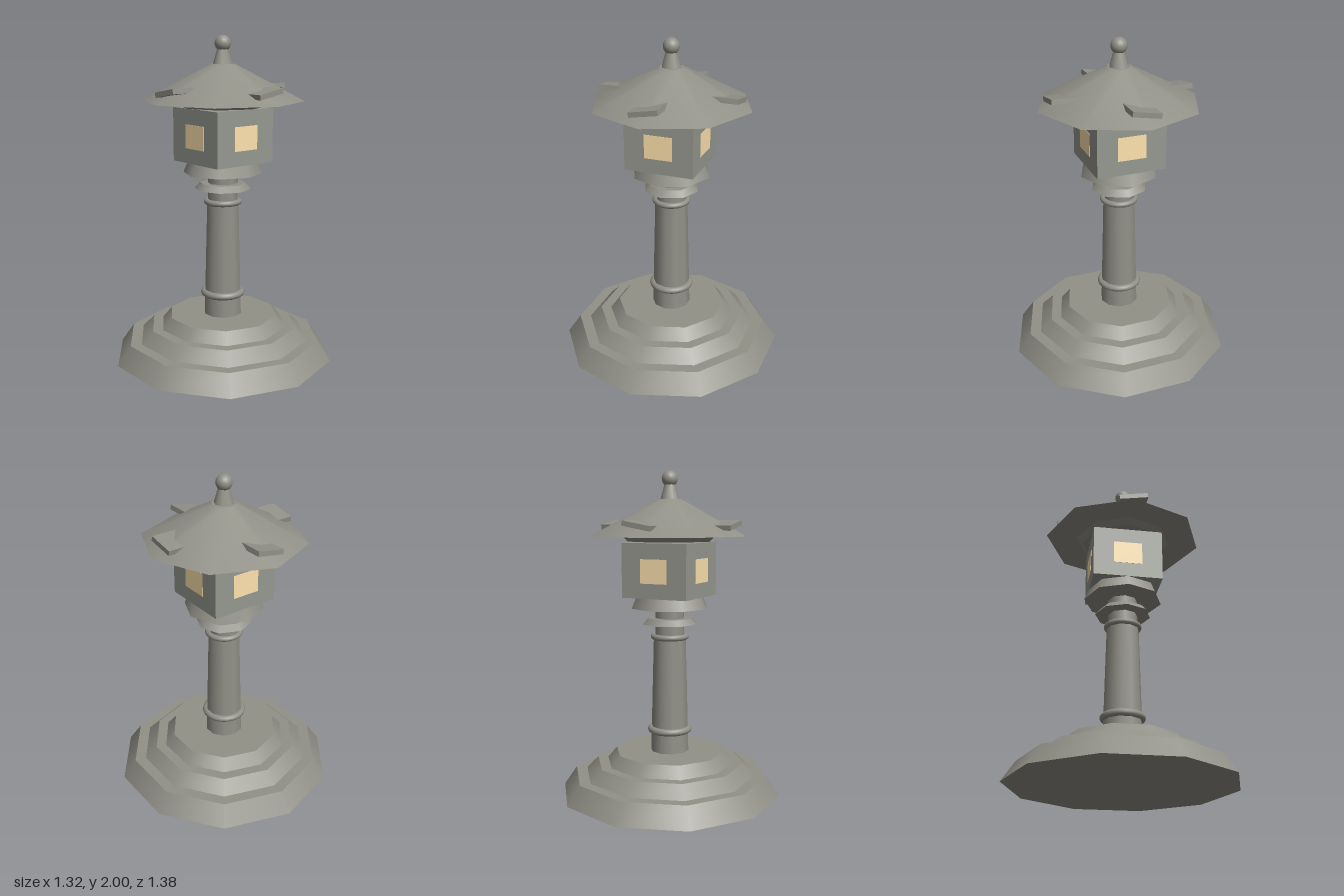
import * as THREE from 'three';

const stone = new THREE.MeshStandardMaterial({ color: 0x929188 });
const plaster = new THREE.MeshStandardMaterial({ color: 0x969990 });
const glow = new THREE.MeshStandardMaterial({ color: 0xffe3ae });

export function createModel() {
  const model = new THREE.Group();

  const add = (name, geometry, material = stone) => {
    const mesh = new THREE.Mesh(geometry, material);
    mesh.name = name;
    model.add(mesh);
    return mesh;
  };

  // Tapered polygonal block standing between two heights
  const tier = (name, y0, y1, rBottom, rTop, sides) => {
    const g = new THREE.CylinderGeometry(rTop, rBottom, y1 - y0, sides);
    add(name, g).position.y = (y0 + y1) / 2;
  };

  // Round moulding around the column
  const ring = (name, y, radius, tube) => {
    const g = new THREE.TorusGeometry(radius, tube, 10, 32);
    g.rotateX(Math.PI / 2);
    add(name, g).position.y = y;
  };

  // Stepped ten-sided base
  tier('baseLower', 0, 0.12, 0.692, 0.61, 10);
  tier('baseMiddle', 0.12, 0.195, 0.54, 0.465, 10);
  tier('baseUpper', 0.195, 0.265, 0.4, 0.342, 10);

  // Column with its mouldings
  tier('column', 0.265, 0.995, 0.119, 0.1, 10);
  ring('columnRingLower', 0.402, 0.116, 0.022);
  ring('columnRingUpper', 0.99, 0.1, 0.018);
  tier('neck', 0.995, 1.17, 0.093, 0.093, 8);
  tier('collar', 1.07, 1.107, 0.174, 0.142, 8);
  tier('platform', 1.17, 1.24, 0.244, 0.215, 8);

  // Lamp house with a flush window on each side
  add('lampHouse', new THREE.BoxGeometry(0.43, 0.33, 0.43), plaster).position.y = 1.405;
  for (let i = 0; i < 4; i++) {
    const a = (i * Math.PI) / 2;
    const pane = add('window', new THREE.BoxGeometry(0.176, 0.145, 0.01), glow);
    pane.position.set(Math.sin(a) * 0.212, 1.403, Math.cos(a) * 0.212);
    pane.rotation.y = a;
  }

  // Eight-sided roof
  tier('roofNeck', 1.57, 1.58, 0.086, 0.086, 8);
  tier('eavePlate', 1.577, 1.61, 0.265, 0.3, 8);
  tier('roof', 1.61, 1.83, 0.495, 0.075, 8);

  // Tilted slabs on the roof: front and back rise to +x, the sides rise to +z
  for (const s of [-1, 1]) {
    const across = add('roofSlab', new THREE.BoxGeometry(0.176, 0.03, 0.2));
    across.position.set(0, 1.675, s * 0.334);
    across.rotation.z = 0.175;
    const along = add('roofSlab', new THREE.BoxGeometry(0.2, 0.03, 0.176));
    along.position.set(s * 0.334, 1.675, 0);
    along.rotation.x = -0.175;
  }

  // Finial
  tier('finialStem', 1.83, 1.925, 0.059, 0.032, 8);
  add('finialBall', new THREE.SphereGeometry(0.049, 20, 14)).position.y = 1.951;

  return model;
}
